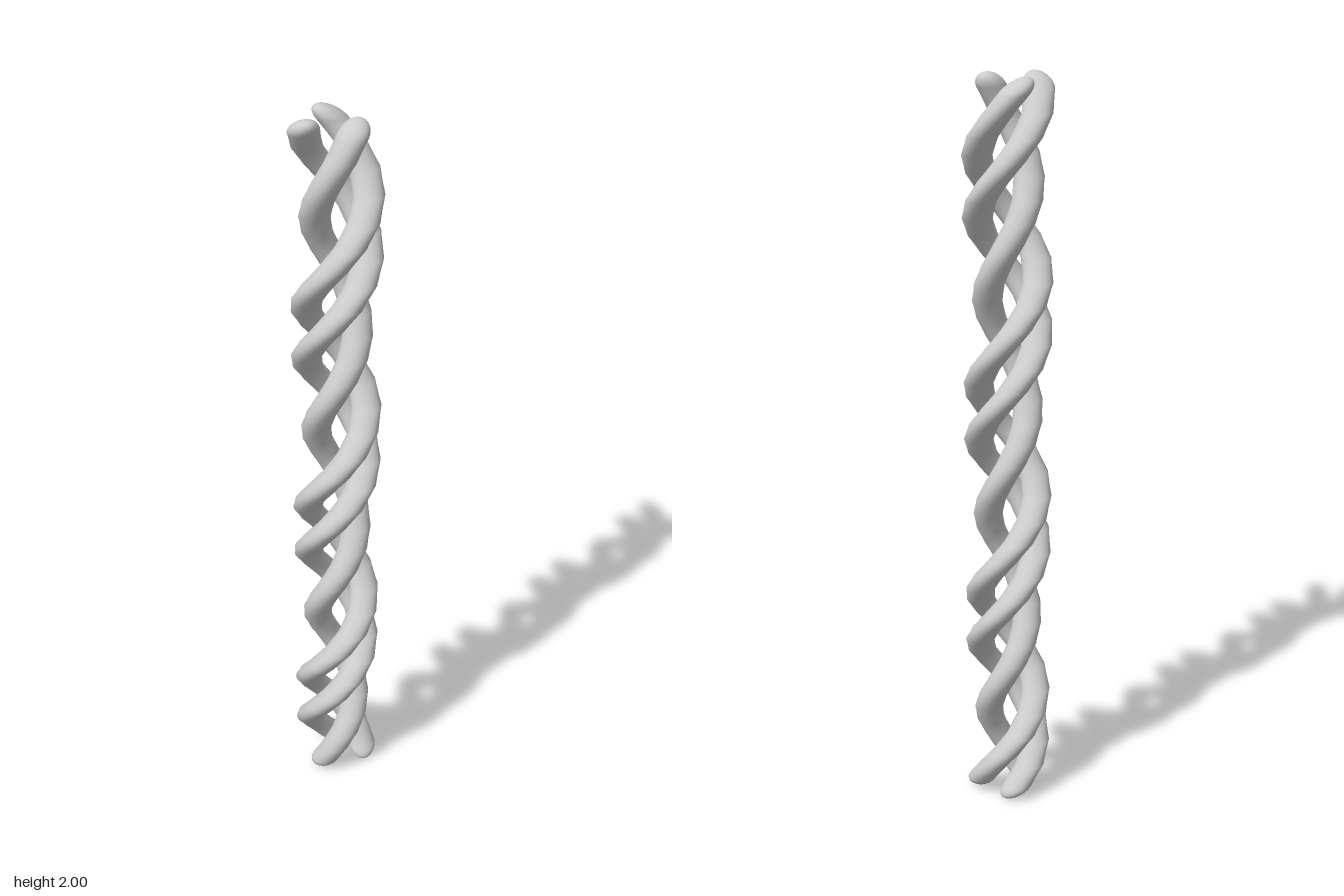
import * as THREE from 'three';
import { mergeVertices } from 'three/addons/utils/BufferGeometryUtils.js';

const HEIGHT = 2;
const STRAND_RADIUS = 0.039;
const PITCH = 0.597; // height of one full turn
const TOP = 1.97; // height at which the strand angles are given

// Upright capsule beside the axis, twisted about the axis
function twistedStrand(distance, angle) {
  const geometry = new THREE.CapsuleGeometry(
    STRAND_RADIUS, HEIGHT - 2 * STRAND_RADIUS, 10, 28, 36);
  geometry.translate(0, HEIGHT / 2, distance);
  geometry.deleteAttribute('uv');
  geometry.deleteAttribute('normal');
  const pos = geometry.attributes.position;
  const axis = new THREE.Vector3(0, 1, 0);
  const v = new THREE.Vector3();
  for (let i = 0; i < pos.count; i++) {
    v.fromBufferAttribute(pos, i);
    v.applyAxisAngle(axis, angle + ((v.y - TOP) / PITCH) * Math.PI * 2);
    pos.setXYZ(i, v.x, v.y, v.z);
  }
  const welded = mergeVertices(geometry, 1e-5);
  welded.computeVertexNormals();
  return welded;
}

export function createModel() {
  const group = new THREE.Group();
  group.name = 'twistedRope';
  const material = new THREE.MeshStandardMaterial({ color: 0xcccccc });

  // Two outer strands and one closer to the axis
  const strands = [
    { name: 'outerStrandA', distance: 0.077, degrees: 270 },
    { name: 'outerStrandB', distance: 0.077, degrees: 180 },
    { name: 'innerStrand', distance: 0.053, degrees: 37 },
  ];
  for (const { name, distance, degrees } of strands) {
    const mesh = new THREE.Mesh(
      twistedStrand(distance, THREE.MathUtils.degToRad(degrees)), material);
    mesh.name = name;
    group.add(mesh);
  }
  return group;
}
